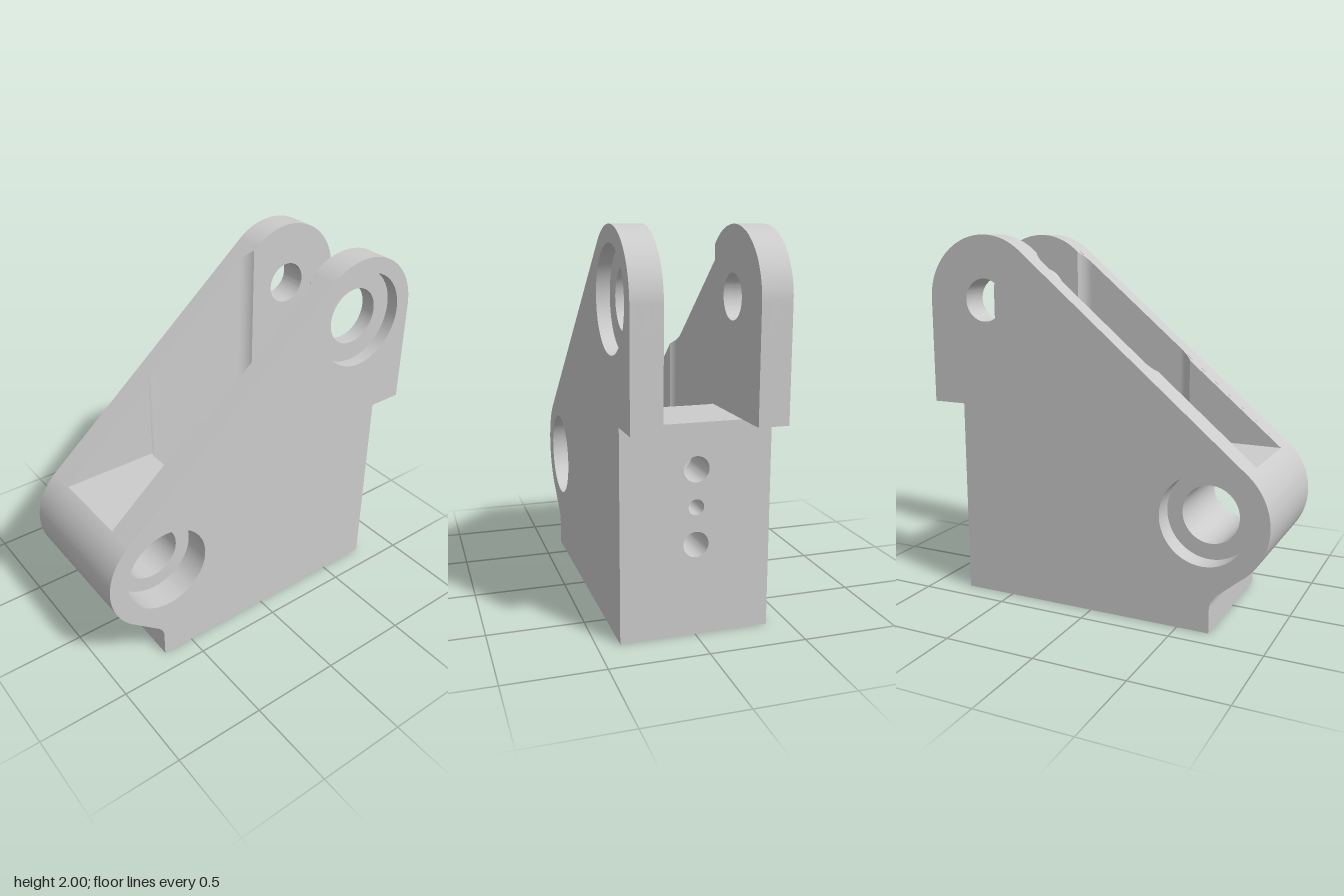
import * as THREE from 'three';
import { toCreasedNormals } from 'three/addons/utils/BufferGeometryUtils.js';

const LOW = [-0.635, 0.595], HIGH = [0.63, 1.655], R = 0.345; // pivot centres and boss radius
const PHI = Math.atan2(0.766, -0.642);                        // direction normal to the sloped top
const FLOOR = 0.859, STEP = 1.08;                             // slot floor heights, left and right
const X0 = -0.33, X1 = 0.4;                                   // well ends
const Z_OUT = 0.385, Z_WELL = 0.27, Z_SLOT = 0.23, CORNER = 0.08;
const slope = (x) => FLOOR + (x + 0.856) * 0.838;

export function createModel() {
  const model = new THREE.Group();
  const grey = new THREE.MeshStandardMaterial({ color: 0xcccccc });
  const inner = new THREE.MeshStandardMaterial({ color: 0xcccccc, side: THREE.DoubleSide });

  const add = (name, geometry, material = grey) => {
    const mesh = new THREE.Mesh(toCreasedNormals(geometry, 0.5), material);
    mesh.name = name;
    model.add(mesh);
    return mesh;
  };
  const extrude = (shape, depth) =>
    new THREE.ExtrudeGeometry(shape, { depth, bevelEnabled: false, curveSegments: 40 });
  const bore = (shape, [x, y], r) => {
    shape.holes.push(new THREE.Path().absarc(x, y, r, 0, Math.PI * 2));
    return shape;
  };
  const slab = (name, shape, za, zb) =>
    add(name, extrude(shape, Math.abs(zb - za)).translate(0, 0, Math.min(za, zb)));

  // Outline pieces in the x-y plane
  const lowerEnd = (startX) => {
    const s = new THREE.Shape();
    s.moveTo(startX, 0);
    s.lineTo(-0.675, 0);
    s.lineTo(-0.675, 0.13);
    s.quadraticCurveTo(-0.675, 0.179, -0.71, 0.209);
    s.lineTo(-0.856, 0.331);
    s.absarc(LOW[0], LOW[1], R, -PHI, PHI, true);
    return s;
  };
  const upperEnd = (s) => {
    s.absarc(HIGH[0], HIGH[1], R, PHI, 0, true);
    s.lineTo(0.975, STEP);
    s.lineTo(0.785, STEP);
    s.lineTo(0.785, 0);
    return s;
  };
  const fullPlate = (lowR, highR) => bore(bore(upperEnd(lowerEnd(0.785)), LOW, lowR), HIGH, highR);
  const leftPart = (top, r) => {
    const s = lowerEnd(X0);
    s.lineTo(X0, top);
    return bore(s, LOW, r);
  };
  const rightPart = (r) => {
    const s = new THREE.Shape();
    s.moveTo(X1, 0);
    s.lineTo(X1, slope(X1));
    return bore(upperEnd(s), HIGH, r);
  };

  // Side plates: the front one has a counterbored upper pivot
  slab('frontPlateOuter', fullPlate(0.24, 0.26), 0.315, Z_OUT);
  slab('frontPlateInner', fullPlate(0.24, 0.155), Z_WELL, 0.315);
  slab('backPlate', fullPlate(0.24, 0.115), -Z_OUT, -Z_WELL);

  // Inner thickness of the arms at both ends of the well
  slab('frontArmLowerEnd', leftPart(slope(X0), 0.24), Z_SLOT, Z_WELL);
  slab('backArmLowerEnd', leftPart(slope(X0), 0.155), -Z_WELL, -Z_SLOT);
  slab('frontArmUpperEnd', rightPart(0.155), Z_SLOT, Z_WELL);
  slab('backArmUpperEnd', rightPart(0.115), -Z_WELL, -Z_SLOT);

  // Solid pivot block under the slot floor
  slab('pivotBlock', leftPart(FLOOR, 0.155), -Z_SLOT, Z_SLOT);

  // End block with three drilled holes in its outer face
  const face = new THREE.Shape();
  face.moveTo(-Z_SLOT, 0);
  face.lineTo(Z_SLOT, 0);
  face.lineTo(Z_SLOT, STEP);
  face.lineTo(-Z_SLOT, STEP);
  const solid = face.clone();
  const drills = [[0.85, 0.065], [0.66, 0.04], [0.47, 0.065]];
  drills.forEach(([y, r]) => bore(face, [0, y], r));
  add('endBlock', extrude(face, 0.335).rotateY(Math.PI / 2).translate(0.45, 0, 0));
  add('endBlockBacking', extrude(solid, 0.05).rotateY(Math.PI / 2).translate(X1, 0, 0));

  // Conical bottoms of the larger drilled holes
  for (const [y, r] of drills.filter((d) => d[1] > 0.05)) {
    const cone = new THREE.ConeGeometry(r, 0.04, 40, 1, true);
    add('drillPoint', cone.rotateZ(Math.PI / 2).translate(0.515, y, 0), inner);
  }

  // Rounded vertical corners of the well
  const cornerFill = (sx, sz, a0, a1, ends, top) => {
    const wall = sx < 0 ? X0 : X1, cx = wall - sx * CORNER, cz = Z_WELL - CORNER;
    const pts = [];
    for (let i = 0; i <= 10; i++) {
      const a = a0 + (a1 - a0) * i / 10;
      pts.push(new THREE.Vector2(cx + sx * CORNER * Math.cos(a), sz * (cz + CORNER * Math.sin(a))));
    }
    ends.forEach((z) => pts.push(new THREE.Vector2(wall, sz * z)));
    const g = extrude(new THREE.Shape(pts), 1).rotateX(-Math.PI / 2);
    const p = g.attributes.position;
    for (let i = 0; i < p.count; i++) p.setY(i, p.getY(i) > 0.5 ? top(p.getX(i)) : 0);
    g.computeVertexNormals();
    add('wellCorner', g);
  };
  for (const sx of [-1, 1]) for (const sz of [-1, 1]) {
    cornerFill(sx, sz, Math.PI / 6, Math.PI / 2, [Z_WELL, Z_SLOT], slope);
    cornerFill(sx, sz, 0, Math.PI / 6, [Z_SLOT], () => (sx < 0 ? FLOOR : STEP));
  }
  return model;
}
